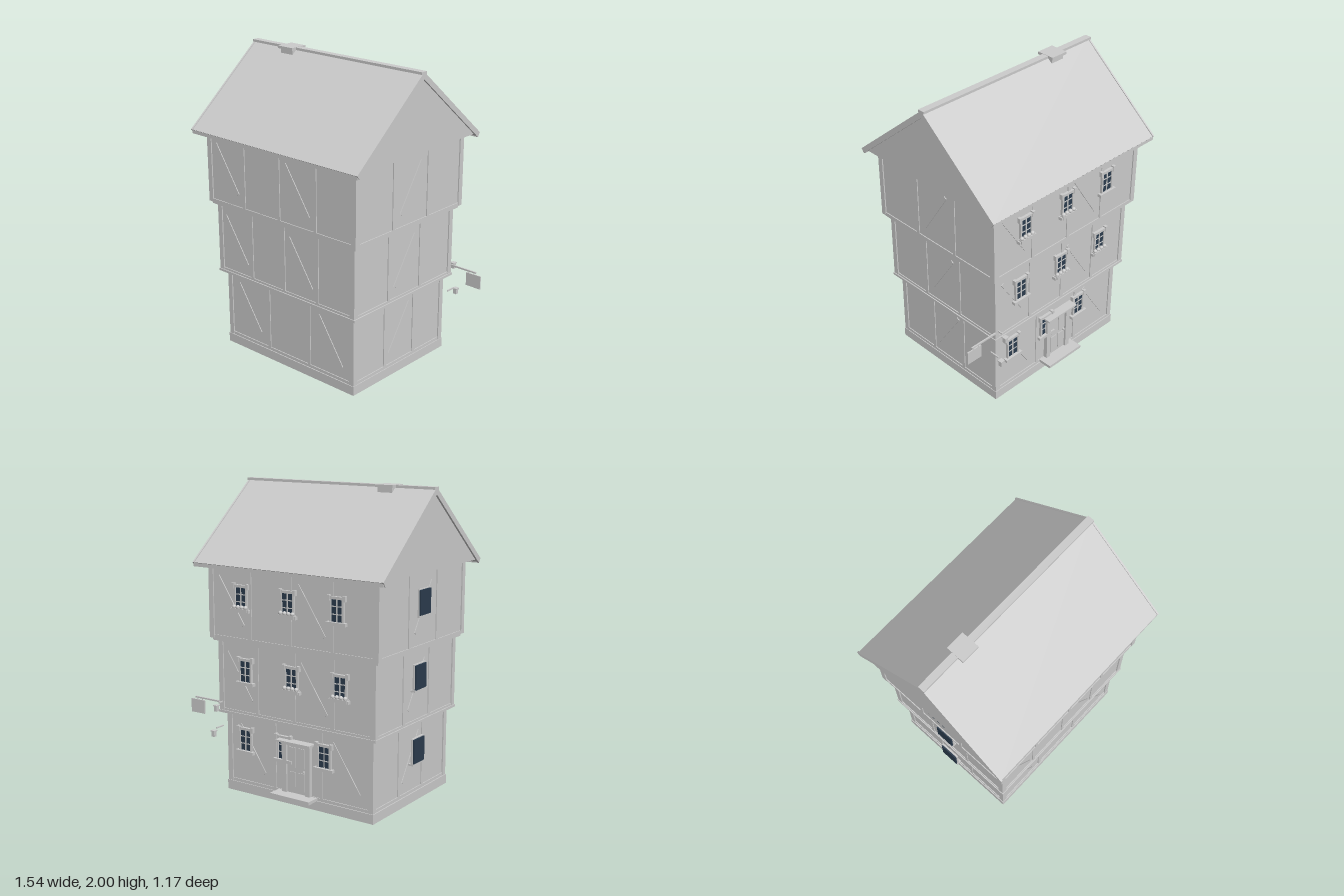
import * as THREE from 'three';

const stone = new THREE.MeshStandardMaterial({ color: 0xcccccc });
stone.name = 'pale grey';
const glass = new THREE.MeshStandardMaterial({ color: 0x2b3c4e });
glass.name = 'dark blue glass';

const CX = -0.065; // middle of the house along x

// Box given by its ranges on each axis
function box(parent, name, x, y, z, mat = stone) {
  const mesh = new THREE.Mesh(new THREE.BoxGeometry(x[1] - x[0], y[1] - y[0], z[1] - z[0]), mat);
  mesh.position.set((x[0] + x[1]) / 2, (y[0] + y[1]) / 2, (z[0] + z[1]) / 2);
  mesh.name = name;
  parent.add(mesh);
  return mesh;
}

function group(parent, name, x = 0, y = 0, z = 0, turn = 0) {
  const g = new THREE.Group();
  g.name = name;
  g.position.set(x, y, z);
  g.rotation.y = turn;
  parent.add(g);
  return g;
}

// Polygon in (z, y), symmetric about z = 0, run along x
function prism(parent, name, points, x0, x1) {
  const shape = new THREE.Shape(points.map(p => new THREE.Vector2(...p)));
  const geo = new THREE.ExtrudeGeometry(shape, { depth: x1 - x0, bevelEnabled: false });
  geo.rotateY(Math.PI / 2).translate(x0, 0, 0);
  const mesh = new THREE.Mesh(geo, stone);
  mesh.name = name;
  parent.add(mesh);
}

// Timber framing on one wall, in wall space: x across, z outwards
function framing(parent, width, y0, y1, panels, braced, lean) {
  const w = width / panels;
  box(parent, 'sillBeam', [-width / 2, width / 2], [y0, y0 + 0.022], [-0.01, 0.006]);
  box(parent, 'headBeam', [-width / 2, width / 2], [y1 - 0.015, y1], [-0.01, 0.006]);
  for (let i = 1; i < panels; i++) {
    const x = -width / 2 + i * w;
    box(parent, 'stud', [x - 0.011, x + 0.011], [y0, y1], [-0.01, 0.006]);
  }
  for (const i of braced) {
    const x = -width / 2 + (i + 0.5) * w;
    const b = box(parent, 'brace', [-0.011, 0.011], [-0.18, 0.18], [-0.008, 0.005]);
    b.position.x = x;
    b.position.y = (y0 + y1) / 2 + 0.012;
    b.rotation.z = lean * 0.58;
  }
}

function storey(house, name, hx, hz, y0, y1, panels, braced) {
  const g = group(house, name, CX);
  const d = 0.008; // wall inset behind the timbers
  box(g, 'walls', [-hx + d, hx - d], [y0, y1], [-hz + d, hz - d]);
  for (const sx of [-1, 1]) for (const sz of [-1, 1]) {
    const x = sx * (hx - 0.018), z = sz * (hz - 0.018);
    box(g, 'cornerPost', [x - 0.018, x + 0.018], [y0, y1], [z - 0.018, z + 0.018]);
  }
  for (const s of [1, -1]) {
    const turn = s > 0 ? 0 : Math.PI;
    framing(group(g, 'longWallFrame', 0, 0, s * (hz - d), turn), 2 * hx - 0.04, y0, y1, panels, braced, 1);
    framing(group(g, 'endWallFrame', s * (hx - d), 0, 0, turn + Math.PI / 2), 2 * hz - 0.04, y0, y1, 3, [1], -1);
  }
}

// Casement window standing on y = 0 and facing +z
function casement(house, x, y, z, flowers) {
  const g = group(house, 'window', x, y, z, Math.PI);
  box(g, 'pane', [-0.045, 0.045], [0.02, 0.16], [-0.01, 0.006], glass);
  for (const s of [-1, 1]) {
    box(g, 'jamb', [s * 0.045 - 0.006, s * 0.045 + 0.006], [0.02, 0.16], [-0.01, 0.014]);
    box(g, 'lintelEnd', [s * 0.055 - 0.01, s * 0.055 + 0.01], [0.145, 0.18], [-0.01, 0.02]);
  }
  box(g, 'mullion', [-0.004, 0.004], [0.02, 0.16], [-0.01, 0.01]);
  for (const h of [0.065, 0.112]) box(g, 'glazingBar', [-0.045, 0.045], [h - 0.003, h + 0.003], [-0.01, 0.009]);
  box(g, 'lintel', [-0.055, 0.055], [0.155, 0.172], [-0.01, 0.016]);
  box(g, 'sill', [-0.07, 0.07], [0, 0.02], [-0.01, 0.026]);
  if (!flowers) return;
  box(g, 'flowerBox', [-0.06, 0.06], [0.004, 0.026], [0, 0.032]);
  for (let i = 0; i < 4; i++) {
    const bloom = new THREE.Mesh(new THREE.SphereGeometry(0.014, 10, 8), stone);
    bloom.name = 'bloom';
    bloom.position.set(-0.045 + i * 0.03, 0.032, 0.018);
    g.add(bloom);
  }
}

function lantern(house, x, y, z) {
  const g = group(house, 'lantern', x, y, z);
  box(g, 'lampBody', [-0.012, 0.012], [-0.018, 0.018], [-0.012, 0.012]);
  box(g, 'lampCap', [-0.016, 0.016], [0.016, 0.023], [-0.016, 0.016]);
  box(g, 'lampArm', [-0.004, 0.004], [0.028, 0.036], [0.025, 0.095]);
}

export function createModel() {
  const house = new THREE.Group();
  house.name = 'timberFramedHouse';

  // Plinth, storeys and the beams under each overhang
  box(house, 'plinth', [-0.63, 0.498], [0, 0.062], [-0.452, 0.452]);
  storey(house, 'groundStorey', 0.56, 0.448, 0.06, 0.53, 3, [0, 2]);
  box(house, 'lowerJettyBeam', [-0.665, 0.535], [0.526, 0.542], [-0.488, 0.488]);
  storey(house, 'middleStorey', 0.595, 0.483, 0.535, 1.005, 4, [0, 2]);
  box(house, 'upperJettyBeam', [-0.685, 0.556], [1.002, 1.022], [-0.502, 0.502]);
  storey(house, 'topStorey', 0.635, 0.518, 1.02, 1.5, 4, [0, 2]);

  // Roof: gable block, covering, end boards, ridge and chimney
  prism(house, 'gableBlock', [[-0.545, 1.5], [0.545, 1.5], [0, 1.968]], -0.755, 0.625);
  prism(house, 'roofCovering', [[0, 1.991], [-0.582, 1.503], [-0.565, 1.483], [0, 1.955], [0.565, 1.483], [0.582, 1.503]], -0.762, 0.632);
  for (const x of [-0.77, 0.628]) {
    prism(house, 'bargeBoard', [[0, 1.997], [-0.587, 1.506], [-0.567, 1.478], [0, 1.952], [0.567, 1.478], [0.587, 1.506]], x, x + 0.012);
  }
  for (const s of [-1, 1]) {
    const z = s * 0.572;
    box(house, 'eavesBoard', [-0.765, 0.635], [1.478, 1.5], [z - 0.009, z + 0.009]);
  }
  box(house, 'ridgeCap', [-0.77, 0.64], [1.982, 1.998], [-0.023, 0.023]);
  box(house, 'chimney', [-0.488, -0.385], [1.945, 1.985], [-0.046, 0.046]);
  box(house, 'chimneyCap', [-0.5, -0.375], [1.983, 2], [-0.062, 0.062]);

  // Windows of the long rear wall
  [-0.41, -0.05, 0.31].forEach((x, i) => {
    casement(house, x, 1.21, -0.512, i > 0);
    casement(house, x, 0.735, -0.478, i < 2);
  });
  for (const x of [-0.27, 0.04, 0.345]) casement(house, x, 0.268, -0.443, false);

  // Windows of the left end wall
  for (const [x, y] of [[-0.678, 0.36], [-0.683, 0.835], [-0.706, 1.305]]) {
    const g = group(house, 'endWindow', x, y, 0);
    box(g, 'endPane', [-0.004, 0.008], [-0.078, 0.078], [-0.062, 0.062], glass);
    box(g, 'endWindowFrame', [0.006, 0.018], [-0.084, 0.084], [-0.068, 0.068]);
    box(g, 'endSill', [0, 0.035], [-0.09, -0.078], [-0.07, 0.07]);
  }

  // Door
  const door = group(house, 'door', CX, 0, -0.442, Math.PI);
  box(door, 'doorLeaf', [-0.075, 0.075], [0.08, 0.4], [-0.01, 0.012]);
  for (const s of [-1, 1]) {
    box(door, 'doorPost', [s * 0.09 - 0.017, s * 0.09 + 0.017], [0.07, 0.41], [-0.01, 0.026]);
    for (const [a, b] of [[0.1, 0.22], [0.25, 0.38]]) {
      box(door, 'doorPanel', [s * 0.034 - 0.024, s * 0.034 + 0.024], [a, b], [0, 0.017]);
    }
  }
  box(door, 'doorHead', [-0.11, 0.11], [0.395, 0.415], [-0.01, 0.03]);
  box(door, 'doorHood', [-0.13, 0.13], [0.414, 0.426], [-0.01, 0.062]);
  box(door, 'doorKnob', [0.052, 0.064], [0.225, 0.237], [0.01, 0.026]);
  box(door, 'doorStep', [-0.15, 0.15], [0.06, 0.08], [0, 0.096]);

  // Lanterns and hanging sign
  lantern(house, 0.535, 0.39, -0.54);
  lantern(house, 0.505, 0.565, -0.545);
  box(house, 'signArm', [0.53, 0.73], [0.59, 0.6], [-0.49, -0.48]);
  for (const x of [0.675, 0.715]) box(house, 'signHanger', [x - 0.002, x + 0.002], [0.575, 0.592], [-0.487, -0.483]);
  box(house, 'signBoard', [0.655, 0.767], [0.49, 0.58], [-0.489, -0.481]);

  return house;
}
